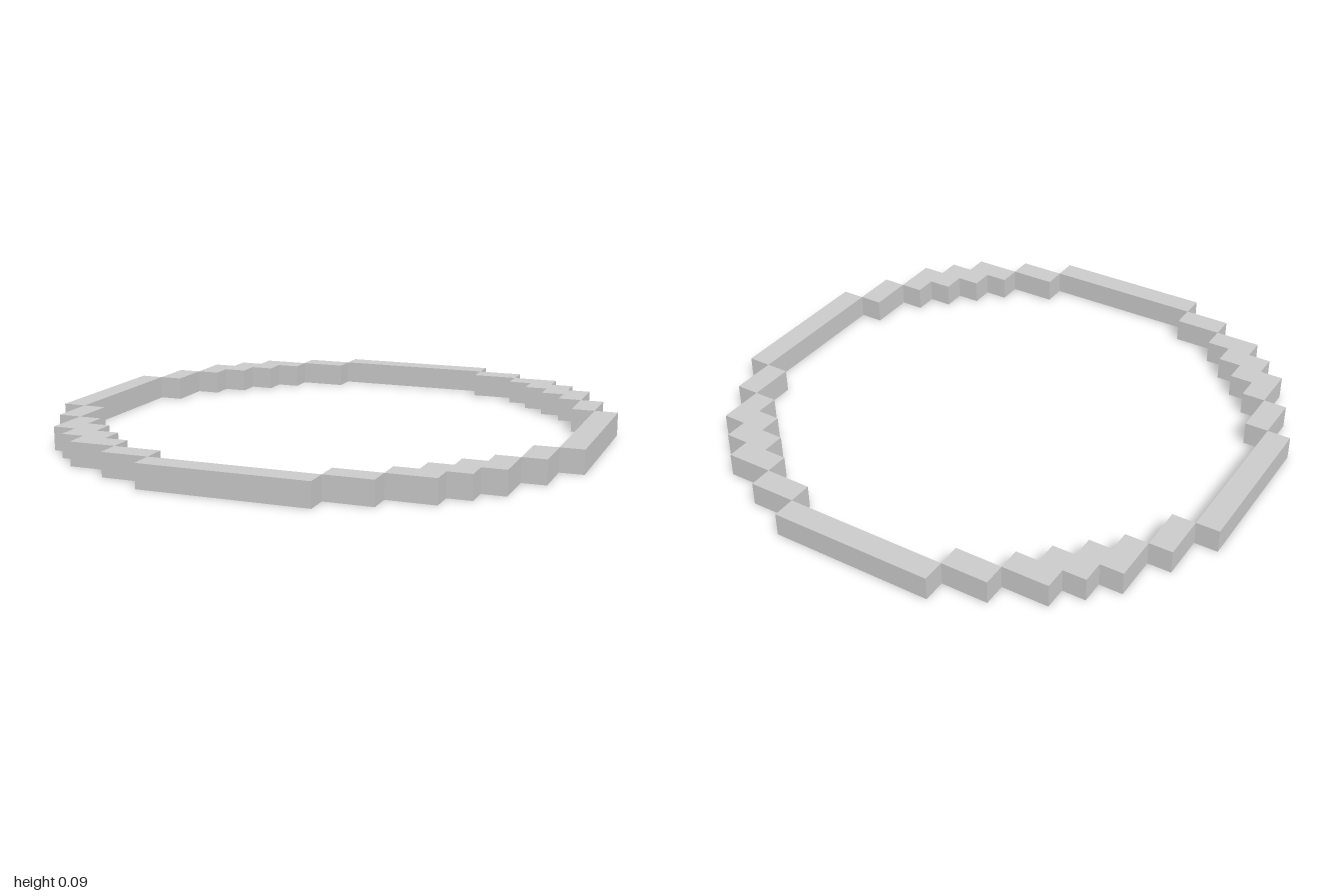
import * as THREE from 'three';

const CELL = 2 / 23; // the ring is 23 square cells across and one cell tall

export function createModel() {
  const model = new THREE.Group();
  model.name = 'blockRing';
  const material = new THREE.MeshStandardMaterial({ color: 0xcccccc, flatShading: true });

  // Bar given by its length, depth and centre, all in cells
  const bar = (w, d, x, z) =>
    new THREE.BoxGeometry(w * CELL, CELL, d * CELL).translate(x * CELL, CELL / 2, z * CELL);

  // Zigzag corner outline, in cells
  const outline = [
    [5.5, 9.5], [5.5, 8.5], [6.5, 8.5], [6.5, 7.5], [7.5, 7.5], [7.5, 6.5], [8.5, 6.5],
    [8.5, 5.5], [9.5, 5.5], [9.5, 7.5], [8.5, 7.5], [8.5, 8.5], [7.5, 8.5], [7.5, 9.5],
  ].map(([x, y]) => new THREE.Vector2(x * CELL, y * CELL));
  const stairs = new THREE.ExtrudeGeometry(new THREE.Shape(outline), { depth: CELL, bevelEnabled: false });
  stairs.rotateX(-Math.PI / 2);

  const parts = {
    longBar: bar(7, 1, 0, -11),
    shortBarA: bar(2, 1, 4.5, -10),
    shortBarB: bar(1, 2, 10, -4.5),
    stairCorner: stairs,
  };

  // Four identical quarters around the vertical axis
  for (let i = 0; i < 4; i++) {
    const quarter = new THREE.Group();
    quarter.name = `quarter${i + 1}`;
    quarter.rotation.y = (i * Math.PI) / 2;
    for (const [name, geometry] of Object.entries(parts)) {
      const mesh = new THREE.Mesh(geometry, material);
      mesh.name = name;
      quarter.add(mesh);
    }
    model.add(quarter);
  }
  return model;
}
